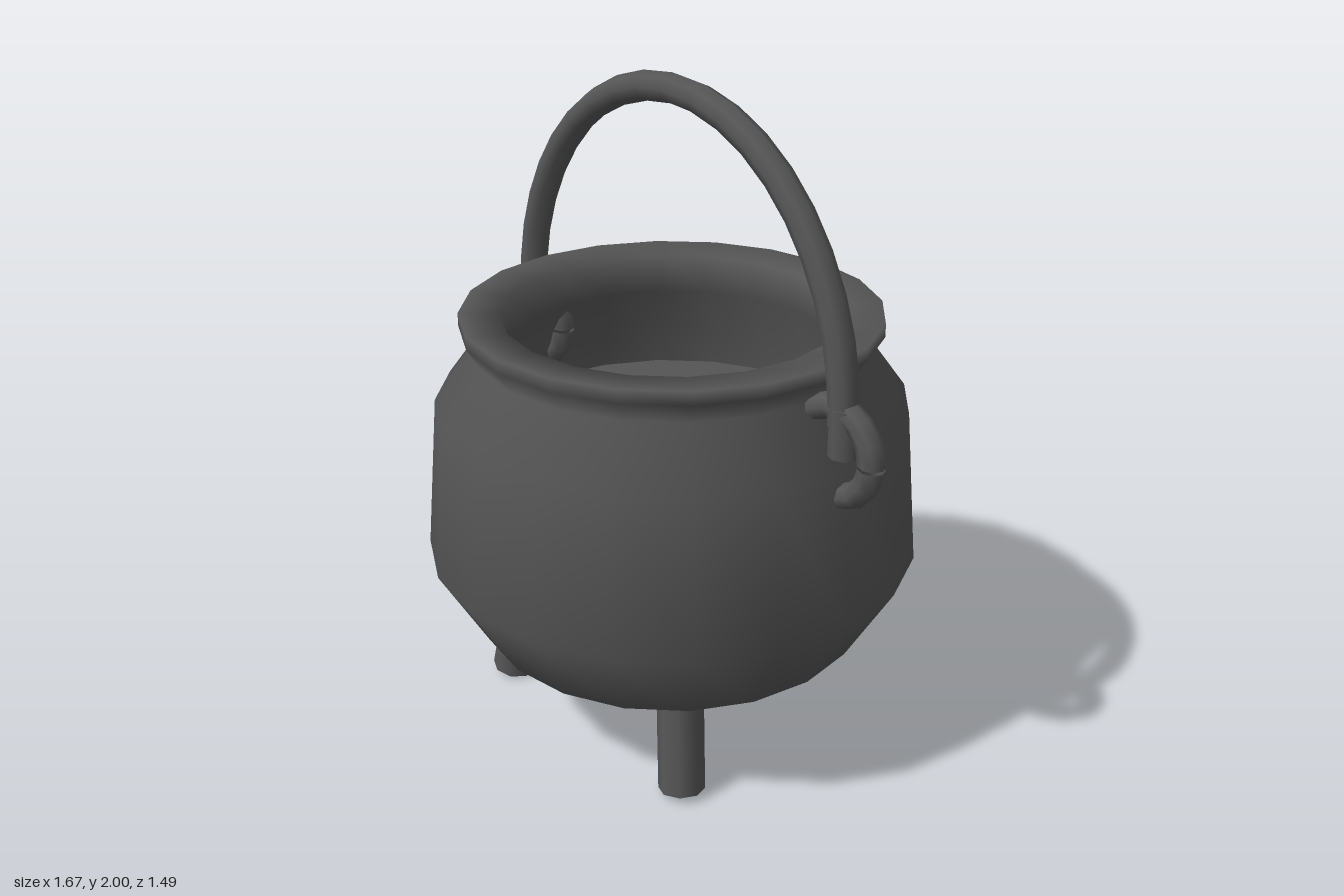
import * as THREE from 'three';

const iron = new THREE.MeshStandardMaterial({ color: 0x555556, side: THREE.DoubleSide });
iron.name = 'castIron';

const SIDES = 20;

export function createModel() {
  const group = new THREE.Group();

  const add = (name, geometry) => {
    const mesh = new THREE.Mesh(geometry, iron);
    mesh.name = name;
    group.add(mesh);
    return mesh;
  };

  // Surface of revolution from [radius, height] pairs
  const turned = (name, profile) =>
    add(name, new THREE.LatheGeometry(profile.map(([r, y]) => new THREE.Vector2(r, y)), SIDES));

  // Thick pot wall: up the outside, over the rim and down the inside
  turned('potWall', [
    [0.37, 0.205], [0.6, 0.33], [0.745, 0.58], [0.702, 1.05], [0.58, 1.215],
    [0.62, 1.28], [0.62, 1.32], [0.5, 1.31],
    [0.5, 1.19], [0.58, 1.02], [0.62, 0.61], [0.52, 0.44], [0.37, 0.41],
  ]);

  // Edge of the round opening in the base
  turned('baseOpening', [[0.37, 0.41], [0.37, 0.205]]);

  // Level surface inside the pot
  const contents = add('contents', new THREE.CircleGeometry(0.592, SIDES));
  contents.rotation.x = -Math.PI / 2;
  contents.position.y = 0.91;

  // Three splayed legs, one at the back: [top, foot]
  const legs = [
    ['backLeg', [0, 0.29, -0.375], [0, 0.015, -0.425]],
    ['leftLeg', [0.38, 0.285, 0.297], [0.423, 0.015, 0.328]],
    ['rightLeg', [-0.38, 0.285, 0.297], [-0.423, 0.015, 0.328]],
  ];
  for (const [name, top, foot] of legs) {
    const a = new THREE.Vector3(...top);
    const b = new THREE.Vector3(...foot);
    const leg = add(name, new THREE.CylinderGeometry(0.069, 0.069, a.distanceTo(b), 8));
    leg.position.copy(a).add(b).multiplyScalar(0.5);
    leg.quaternion.setFromUnitVectors(new THREE.Vector3(0, 1, 0), a.sub(b).normalize());
  }

  // Arched bail handle
  const arch = [];
  for (let i = 0; i <= 16; i++) {
    const t = (i / 16) * Math.PI;
    arch.push(new THREE.Vector3(0.69 * Math.cos(t), 1.18 + 0.777 * Math.sin(t), 0));
  }
  const path = new THREE.CatmullRomCurve3(arch);
  add('handle', new THREE.TubeGeometry(path, 20, 0.043, 8));

  // Straight handle ends and the rings they hang from
  for (const [side, s] of [['left', 1], ['right', -1]]) {
    const end = add(side + 'HandleEnd', new THREE.CylinderGeometry(0.043, 0.043, 0.14, 8));
    end.position.set(0.695 * s, 1.165, 0);

    const ring = add(side + 'Ring', new THREE.TorusGeometry(0.129, 0.038, 8, 14, Math.PI * 2 - 0.06));
    ring.position.set(0.667 * s, 1.1, 0);
  }

  return group;
}
